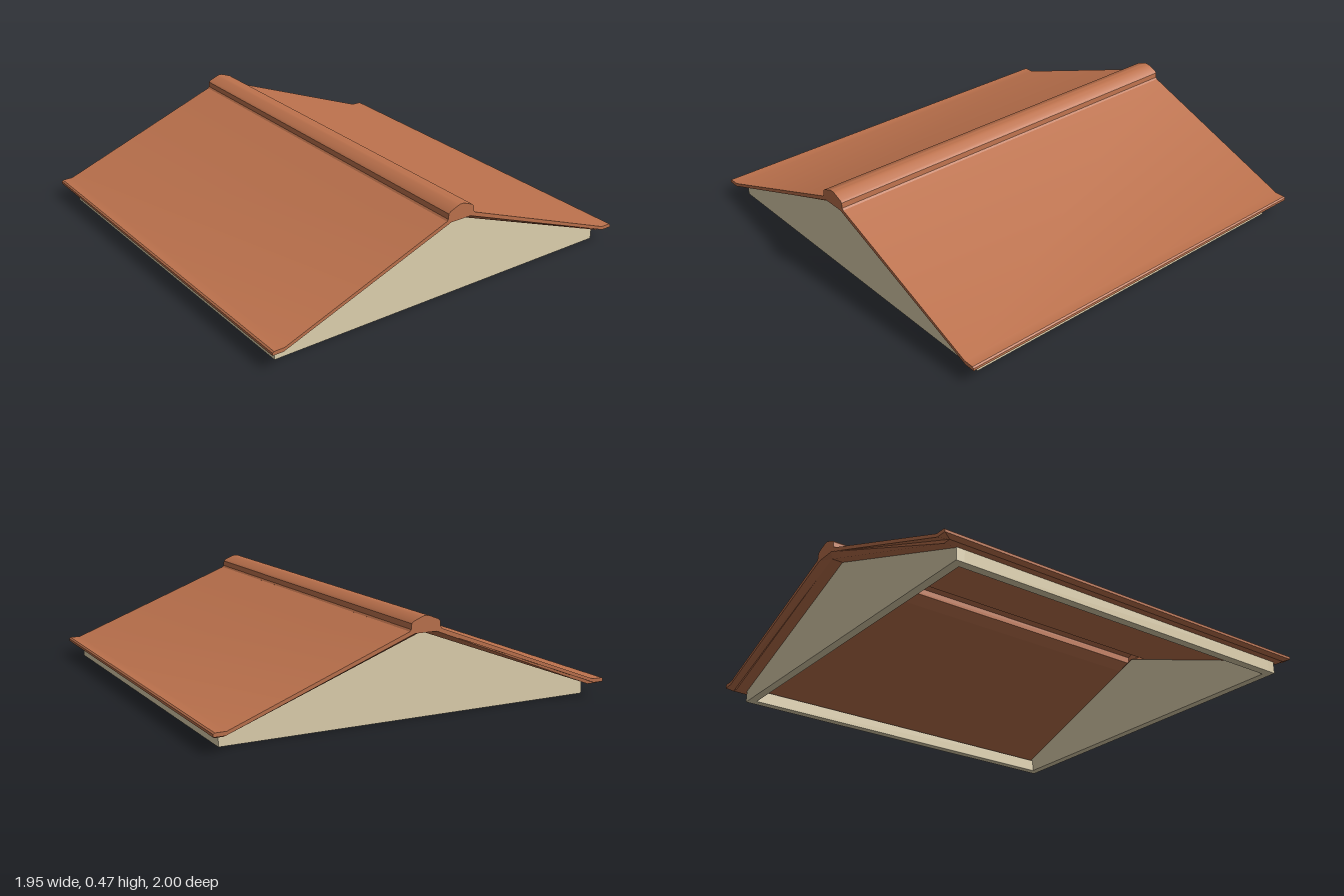
import * as THREE from 'three';
import { toCreasedNormals } from 'three/addons/utils/BufferGeometryUtils.js';

const roofMat = new THREE.MeshStandardMaterial({ color: 0xbd724d });
roofMat.name = 'terracotta';
const wallMat = new THREE.MeshStandardMaterial({ color: 0xe0d2af });
wallMat.name = 'cream';

// Extrudes an x-y outline from z0 to z1, rounding only shallow edges
function extrude(name, points, z0, z1, material) {
  const shape = new THREE.Shape(points.map(([x, y]) => new THREE.Vector2(x, y)));
  const geometry = new THREE.ExtrudeGeometry(shape, { depth: z1 - z0, bevelEnabled: false });
  geometry.translate(0, 0, z0);
  const mesh = new THREE.Mesh(toCreasedNormals(geometry, 0.45), material);
  mesh.name = name;
  return mesh;
}

// Mirrors an outline across x = 0
const mirror = (points) => points.map(([x, y]) => [-x, y]).reverse();

// Pulls the lower edge of a roof layer inwards at both ends, leaving a chamfer
function chamferEnds(mesh) {
  const p = mesh.geometry.attributes.position;
  for (let i = 0; i < p.count; i++) {
    const limit = Math.max(0.065, 0.403 - 0.375 * Math.abs(p.getX(i)));
    if (p.getY(i) < limit) p.setZ(i, p.getZ(i) * 0.965);
  }
  mesh.geometry.computeVertexNormals();
  return mesh;
}

export function createModel() {
  const model = new THREE.Group();
  model.name = 'gableRoof';

  // Sloping upper and lower layers, with a flat lip at each eave
  const upper = [
    [0.055, 0.397], [0.92, 0.072], [0.973, 0.072], [0.973, 0.084],
    [0.966, 0.09], [0.915, 0.09], [0.055, 0.417],
  ];
  const lower = [
    [0.1, 0.358], [0.915, 0.058], [0.955, 0.058],
    [0.973, 0.072], [0.92, 0.072], [0.055, 0.397],
  ];
  for (const [side, fn] of [['left', (p) => p], ['right', mirror]]) {
    model.add(extrude(side + 'RoofSlope', fn(upper), -1, 1, roofMat));
    model.add(chamferEnds(extrude(side + 'RoofUnderside', fn(lower), -1, 1, roofMat)));
  }

  // Hollow ridge cap over the gap between the slopes
  const capOuter = [
    [0.08, 0.408], [0.073, 0.416], [0.071, 0.441],
    [0.062, 0.45], [0.022, 0.466], [0.01, 0.47],
  ];
  const capInner = [[0.055, 0.397], [0.055, 0.43], [0, 0.448]];
  model.add(extrude('ridgeCap', [
    ...capOuter, ...mirror(capOuter),
    [-0.055, 0.397], [-0.055, 0.43], ...capInner.slice().reverse(),
  ], -1, 1, roofMat));

  // Plugs closing the ridge cap beyond the gables
  const plugTop = [[0, 0.418], ...capInner, [-0.055, 0.43], [-0.055, 0.397]];
  const plugBase = [
    [0, 0.395], [0.1, 0.358], [0.055, 0.397], [0, 0.418], [-0.055, 0.397], [-0.1, 0.358],
  ];
  for (const [end, a, b] of [['front', 0.92, 1], ['back', -1, -0.89]]) {
    model.add(extrude(end + 'RidgePlug', plugTop, a, b, roofMat));
    model.add(chamferEnds(extrude(end + 'RidgePlugBase', plugBase, a, b, roofMat)));
  }

  // Gable walls
  const x0 = -0.923, x1 = 0.915, z0 = -0.91, z1 = 0.935, t = 0.04;
  const gable = [[x0, 0], [x1, 0], [x1, 0.06], [0, 0.398], [x0, 0.06]];
  model.add(extrude('frontGable', gable, z1 - t, z1, wallMat));
  model.add(extrude('backGable', gable, z0, z0 + t, wallMat));

  // Low side walls under the eaves
  const sideWall = (name, a, b) =>
    extrude(name, [[a, 0], [b, 0], [b, 0.06], [a, 0.06]], z0 + t, z1 - t, wallMat);
  model.add(sideWall('rightWall', x0, x0 + t));
  model.add(sideWall('leftWall', x1 - t, x1));

  return model;
}
